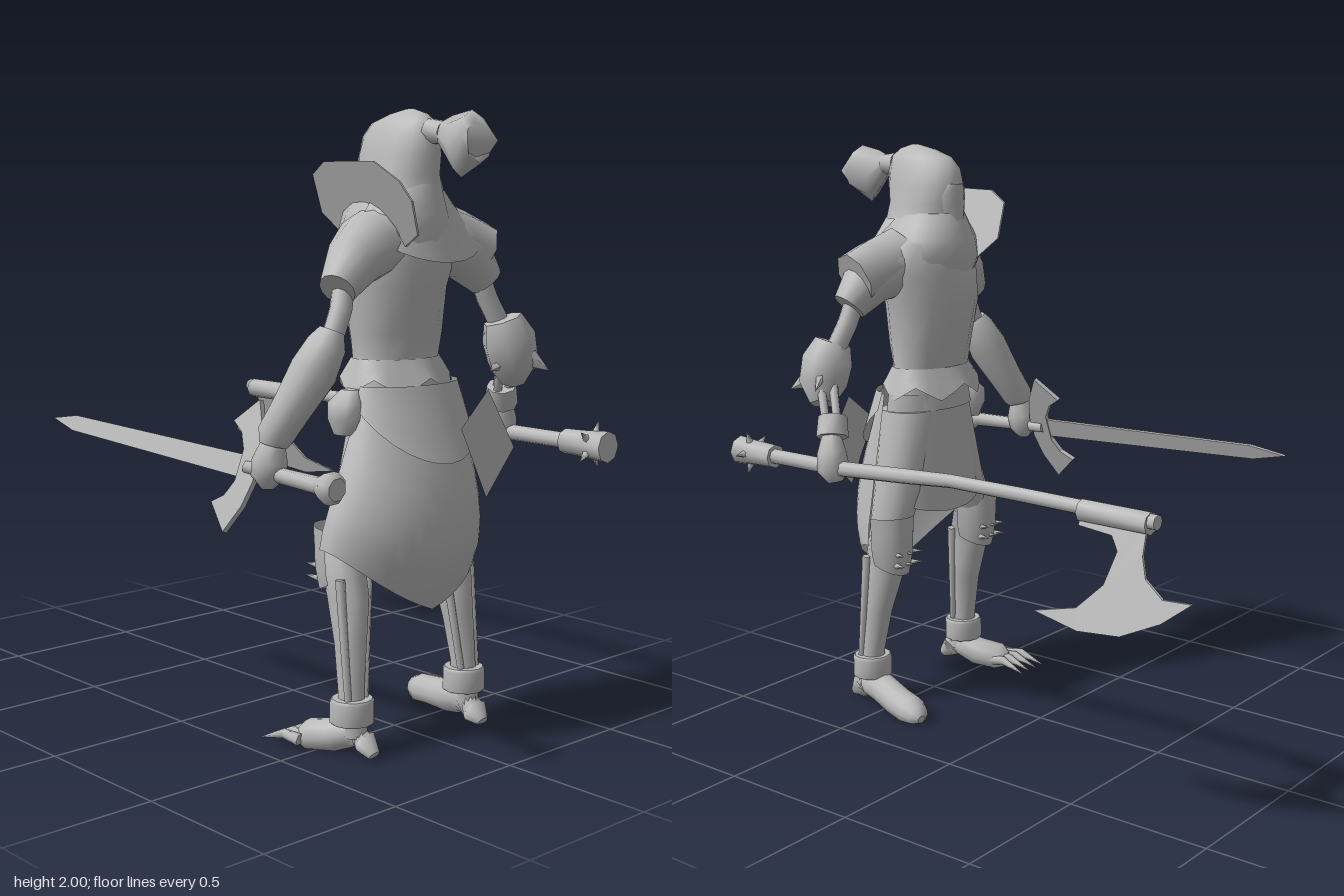
import * as THREE from 'three';

export function createModel() {
  const root = new THREE.Group();
  root.name = 'warrior';
  const grey = new THREE.MeshStandardMaterial({ color: 0xb9b9b9, side: THREE.DoubleSide });
  grey.name = 'plain grey';
  const V = (x, y, z) => new THREE.Vector3(x, y, z);

  function add(name, geo, parent = root) {
    const m = new THREE.Mesh(geo, grey);
    m.name = name;
    parent.add(m);
    return m;
  }

  // Grid of points p(i, j); wraps around in i when closed, optional end caps
  function skin(name, p, ni, nj, closed, caps, parent) {
    const pos = [], idx = [], w = closed ? ni : ni + 1;
    for (let j = 0; j <= nj; j++) for (let i = 0; i < w; i++) pos.push(...p(i, j));
    for (let j = 0; j < nj; j++) for (let i = 0; i < ni; i++) {
      const a = j * w + i, b = j * w + (i + 1) % w;
      idx.push(a, a + w, b, b, a + w, b + w);
    }
    if (caps) for (const j of [0, nj]) {
      const s = pos.length / 3;
      for (let i = 0; i < w; i++) pos.push(...p(i, j));
      for (let i = 1; i < w - 1; i++) idx.push(s, ...(j ? [s + i + 1, s + i] : [s + i, s + i + 1]));
    }
    // Flatten soles on the ground
    if (!parent) for (let k = 1; k < pos.length; k += 3) pos[k] = Math.max(0, pos[k]);
    const g = new THREE.BufferGeometry();
    g.setAttribute('position', new THREE.Float32BufferAttribute(pos, 3));
    g.setIndex(idx);
    g.computeVertexNormals();
    return add(name, g, parent);
  }

  // Stacked horizontal ellipses, rows of [y, cx, cz, rx, rz] going up
  const loft = (name, rows, n = 16) => skin(name, (i, j) => {
    const [y, cx, cz, rx, rz] = rows[j], a = i / n * Math.PI * 2;
    return [cx + rx * Math.cos(a), y, cz + rz * Math.sin(a)];
  }, n, rows.length - 1, true, true);

  // Round limb along a path of [x, y, z, r]
  function limb(name, pts, n = 10, parent) {
    const c = pts.map(p => V(p[0], p[1], p[2]));
    const last = c.length - 1;
    const frames = c.map((_, j) => {
      const t = c[Math.min(j + 1, last)].clone().sub(c[Math.max(j - 1, 0)]).normalize();
      const ref = Math.abs(t.z) > 0.9 ? V(1, 0, 0) : V(0, 0, 1);
      const u = ref.sub(t.clone().multiplyScalar(ref.dot(t))).normalize();
      return [u, u.clone().cross(t)];
    });
    return skin(name, (i, j) => {
      const a = i / n * Math.PI * 2, [u, v] = frames[j], r = pts[j][3];
      return c[j].clone().addScaledVector(u, r * Math.cos(a)).addScaledVector(v, r * Math.sin(a)).toArray();
    }, n, last, true, true, parent);
  }
  const spike = (name, a, b, r, parent) => limb(name, [[...a, r], [...b, 0.001]], 5, parent);

  // Thin plate drawn as [z, y] points, lying in the side plane; bend moves its points
  function plate(name, pts, depth, bend, parent) {
    const shape = new THREE.Shape(pts.map(p => new THREE.Vector2(...p)));
    const g = new THREE.ExtrudeGeometry(shape, { depth, bevelEnabled: false });
    const p = g.attributes.position;
    for (let i = 0; i < p.count; i++) {
      const z = p.getX(i), y = p.getY(i), x = depth / 2 - p.getZ(i);
      p.setXYZ(i, x + (bend ? bend(y, z) : 0), y, z);
    }
    g.computeVertexNormals();
    return add(name, g, parent);
  }

  // Torso with a flared, pointed hem, cowl and head
  loft('torso', [[1.08, -.02, .52, .18, .125], [1.16, -.02, .52, .168, .115], [1.23, -.02, .51, .16, .112],
    [1.31, -.02, .51, .165, .13], [1.45, -.03, .51, .178, .155], [1.56, -.01, .515, .2, .16],
    [1.66, 0, .53, .18, .14], [1.73, -.03, .53, .11, .12]]);
  skin('jacketHem', (i, j) => {
    const a = i / 24 * Math.PI * 2, t = j / 2;
    return [-.02 + (.163 + .035 * t) * Math.cos(a), 1.23 - t * (.085 + .025 * Math.cos(a * 6)), .51 + (.115 + .04 * t) * Math.sin(a)];
  }, 24, 2, true, false);
  loft('cowl', [[1.57, -.03, .525, .17, .165], [1.62, -.03, .52, .195, .175], [1.68, -.03, .52, .17, .17],
    [1.73, -.03, .525, .135, .16], [1.77, -.03, .53, .115, .15]]);
  loft('hood', [[1.7, -.03, .535, .14, .145], [1.76, -.03, .535, .12, .145], [1.8, -.03, .53, .108, .145], [1.86, -.03, .53, .097, .155],
    [1.92, -.03, .535, .08, .15], [1.96, -.03, .545, .06, .125], [1.985, -.03, .565, .035, .075], [2, -.03, .575, .008, .015]]);
  loft('faceMask', [[1.72, -.03, .44, .045, .07], [1.78, -.03, .43, .06, .06], [1.83, -.03, .43, .065, .06],
    [1.87, -.03, .42, .05, .05]], 10);

  // Knot of hair with a flared, forked end; rows of [z top, y top, z bottom, y bottom, half width]
  limb('hairKnot', [[-.03, 1.93, .66, .04], [-.03, 1.925, .72, .035]], 10);
  const tail = [[.7, 1.955, .705, 1.895, .028], [.75, 1.975, .79, 1.79, .045], [.83, 1.99, .865, 1.83, .065], [.872, 1.95, .877, 1.85, .068]];
  skin('hairTail', (i, j) => {
    const a = i / 8 * Math.PI * 2, [zt, yt, zb, yb, w] = tail[j], h = (Math.sin(a) + 1) / 2, c = Math.cos(a);
    return [-.03 + w * c, yb + (yt - yb) * h, zb + (zt - zb) * h - (j > 2 ? .03 * (1 - c * c) : 0)];
  }, 8, 3, true, true);

  // Short cape over the back, longer towards the left shoulder
  skin('backCape', (i, j) => {
    const a = i / 12 * Math.PI, t = j / 4, s = Math.sin(a);
    return [.04 * t - .02 + (.13 + .12 * t) * Math.cos(a), 1.75 - t * (.1 + .12 * s), .55 + (.11 + .05 * t) * s];
  }, 12, 4, false, false);

  // Leaning neck guard
  plate('neckGuard', [[.28, 1.68], [.29, 1.8], [.37, 1.84], [.62, 1.84], [.72, 1.78], [.755, 1.72], [.74, 1.62], [.62, 1.56], [.42, 1.56]],
    .008, (y, z) => -.105 - (y - 1.56) * .4 - (z - .5) * .13);

  // Skirts: long pointed back and shorter split front
  skin('backSkirt', (i, j) => {
    const a = i / 20 * Math.PI, t = j / 8, s = Math.sin(a), c = Math.cos(a);
    const hem = .635 - .025 * c - .19 * (.5 * s * s + .5 * (1 - Math.abs(c)));
    const rx = .195 + .15 * t - (t > .9 ? .01 : 0);
    return [-.01 - .04 * t + rx * c, 1.14 + (hem - 1.14) * t, .55 + (.1 + .12 * Math.sin(2.6 * t ** 1.3)) * s];
  }, 20, 8, false, false);
  for (const s of [-1, 1]) skin('frontSkirt', (i, j) => {
    const a = i / 8 * Math.PI / 2, t = j / 3;
    return [-.01 + s * (.185 + .06 * t) * Math.cos(a), 1.14 - t * (.34 + .09 * Math.sin(a)), .54 - (.13 + .025 * t) * Math.sin(a)];
  }, 8, 3, false, false);
  skin('sash', (i, j) => {
    const a = i / 14 * Math.PI, t = j / 3, s = Math.sin(a);
    return [-.01 + (.205 + .025 * t) * Math.cos(a), 1.15 - t * (.06 + .18 * s), .55 + (.115 + .085 * t) * s];
  }, 14, 3, false, false);
  loft('hipPouch', [[1, -.25, .52, .03, .04], [1.05, -.25, .52, .05, .06], [1.1, -.25, .52, .05, .06], [1.14, -.23, .52, .025, .03]], 8);
  const flap = new THREE.Shape([[.05, 1.01], [.21, 1.12], [.33, .92], [.155, .78]].map(p => new THREE.Vector2(...p)));
  const flapGeo = new THREE.ShapeGeometry(flap);
  const fp = flapGeo.attributes.position;
  for (let i = 0; i < fp.count; i++) fp.setZ(i, .74 - .12 * fp.getX(i) + (1 - fp.getY(i)) * .12);
  flapGeo.computeVertexNormals();
  add('hangingFlap', flapGeo);

  // Legs with ankle cuffs and spiked knee guards
  for (const s of [-1, 1]) {
    const ankle = s < 0 ? -.285 : .23, knee = s < 0 ? -.265 : .205;
    loft('leg', [[.06, ankle, .6, .045, .05], [.2, ankle, .59, .042, .043], [.35, (ankle + knee) / 2, .575, .05, .055],
      [.5, knee, .55, .06, .078], [.62, knee, .53, .06, .075], [.8, s * .17, .51, .08, .09], [1.08, s * .09, .52, .1, .1]], 12);
    loft('ankleCuff', [[.1, ankle, .595, .068, .066], [.105, ankle, .595, .073, .07], [.17, ankle, .595, .073, .07], [.18, ankle, .595, .066, .064]], 12);
    skin('kneeGuard', (i, j) => {
      const a = Math.PI * (1 + i / 8), r = [.068, .08, .082, .085][j];
      return [knee + r * Math.cos(a), [.535, .58, .65, .71][j] + .03 * Math.sin(a) * (j ? -.2 : 1.2), .535 + r * 1.3 * Math.sin(a)];
    }, 8, 3, false, false);
    for (const dx of [-.035, 0, .035]) for (const y of [.54, .58])
      spike('kneeSpike', [knee + dx, y, .46], [knee + dx * 1.4, y + .005, .41], .012);
    // Open calf straps
    for (const dx of [-.06, .06])
      limb('calfStrut', [[ankle + dx * .6, .18, .615, .012], [knee + dx, .56, .58, .016]], 6);
  }

  // Shoe on one foot, claws on the other
  limb('shoe', [[.22, .012, .692, .02], [.222, .04, .655, .045], [.225, .07, .6, .056], [.24, .058, .53, .055], [.27, .04, .43, .055],
    [.285, .03, .36, .055], [.3, .025, .315, .04], [.305, .02, .295, .015]], 12);
  limb('clawedFoot', [[-.28, .015, .69, .02], [-.28, .05, .65, .04], [-.285, .07, .6, .05], [-.3, .045, .53, .055], [-.33, .03, .45, .055], [-.34, .025, .42, .03]]);
  for (let i = 0; i < 4; i++) {
    const x = -.385 + i * .032, tip = -.415 + i * .042;
    limb('toeClaw', [[x, .03, .46, .02], [(x + tip) / 2, .04, .4, .016], [tip, .008, .31, .002]], 6);
  }

  // Right arm: sleeve, upper arm, gauntlet and hand
  limb('rightSleeve', [[-.12, 1.6, .54, .11], [-.2, 1.58, .56, .105], [-.28, 1.54, .585, .088], [-.375, 1.46, .615, .058]], 14);
  limb('rightUpperArm', [[-.33, 1.5, .6, .035], [-.365, 1.4, .62, .035], [-.41, 1.29, .62, .035]]);
  limb('rightGauntlet', [[-.4, 1.34, .62, .04], [-.415, 1.3, .615, .062], [-.445, 1.22, .59, .075], [-.5, 1.1, .545, .062], [-.535, 1.03, .52, .058], [-.54, 1, .515, .045]], 12);
  limb('rightHand', [[-.54, 1.01, .515, .035], [-.55, .95, .51, .055], [-.55, .9, .5, .052], [-.55, .865, .5, .02]], 8);

  // Left arm: layered sleeve, bare forearm struts, elbow guard, cuff and hand
  limb('leftSleeve', [[.06, 1.6, .55, .11], [.15, 1.58, .56, .108], [.23, 1.54, .58, .09], [.3, 1.46, .6, .06]], 14);
  limb('leftShoulderGuard', [[.1, 1.62, .55, .105], [.2, 1.59, .565, .1], [.285, 1.555, .585, .095]], 8);
  limb('leftUpperArm', [[.26, 1.52, .59, .035], [.3, 1.4, .61, .035], [.37, 1.26, .64, .035]]);
  limb('elbowGuard', [[.325, 1.335, .655, .065], [.345, 1.27, .665, .09], [.375, 1.19, .66, .085], [.4, 1.13, .64, .045]], 7);
  spike('elbowSpike', [.4, 1.24, .64], [.475, 1.19, .6], .025);
  spike('elbowSpike', [.37, 1.22, .7], [.42, 1.17, .775], .05);
  spike('elbowSpike', [.33, 1.2, .66], [.265, 1.17, .66], .035);
  for (const [dx, dz] of [[-.03, 0], [.025, .01], [0, -.025]])
    limb('forearmStrut', [[.38 + dx, 1.22, .635 + dz, .017], [.445 + dx * .7, 1.05, .55 + dz, .015]], 6);
  limb('leftCuff', [[.43, 1.1, .565, .05], [.455, 1.035, .545, .055]], 8);
  limb('leftHand', [[.455, 1.05, .55, .03], [.475, .985, .53, .05], [.485, .93, .515, .055], [.485, .89, .505, .025]], 8);

  // Sword, leaning sideways in the right hand
  const sword = new THREE.Group();
  sword.name = 'sword';
  sword.position.set(-.545, .93, 0);
  sword.rotation.set(.035, 0, -.34);
  root.add(sword);
  limb('swordGrip', [[0, 0, .78, .027], [0, 0, .4, .022]], 8, sword);
  limb('swordPommel', [[0, 0, .8, .035], [0, 0, .785, .05], [0, 0, .765, .05], [0, 0, .72, .025]], 8, sword);
  plate('swordBlade', [[.42, -.036], [.42, .036], [-.52, .027], [-.65, 0], [-.52, -.027]], .01, null, sword);
  plate('swordGuard', [[.45, -.04], [.45, .04], [.43, .12], [.38, .21], [.29, .13], [.34, .1], [.37, .05],
    [.37, -.05], [.34, -.1], [.29, -.13], [.38, -.21], [.43, -.12]], .018, null, sword);

  // Long axe in the left hand
  const axe = new THREE.Group();
  axe.name = 'axe';
  root.add(axe);
  limb('axeShaft', [[.482, .935, .95, .027], [.482, .937, .5, .027], [.478, .955, .2, .026], [.475, .968, 0, .023],
    [.48, .97, -.3, .024], [.485, .968, -.8, .024]], 8, axe);
  limb('axeButt', [[.48, .935, .975, .052], [.48, .935, .89, .045], [.48, .935, .8, .042]], 8, axe);
  for (let i = 0; i < 5; i++) {
    const a = i / 5 * Math.PI * 2, c = Math.cos(a), s = Math.sin(a);
    spike('buttSpike', [.48 + .04 * c, .935 + .04 * s, .915], [.48 + .08 * c, .935 + .08 * s, .915], .014, axe);
  }
  limb('axeSocket', [[.482, .96, -.525, .036], [.483, .96, -.775, .036]], 8, axe);
  plate('axeBlade', [[-.53, .96], [-.53, .92], [-.655, .91], [-.685, .87], [-.66, .77], [-.58, .69], [-.43, .655], [-.6, .627],
    [-.75, .64], [-.88, .7], [-.97, .77], [-.87, .765], [-.8, .81], [-.775, .87], [-.77, .96]], .009, y => .49 + (.96 - y) * .35, axe);

  return root;
}
